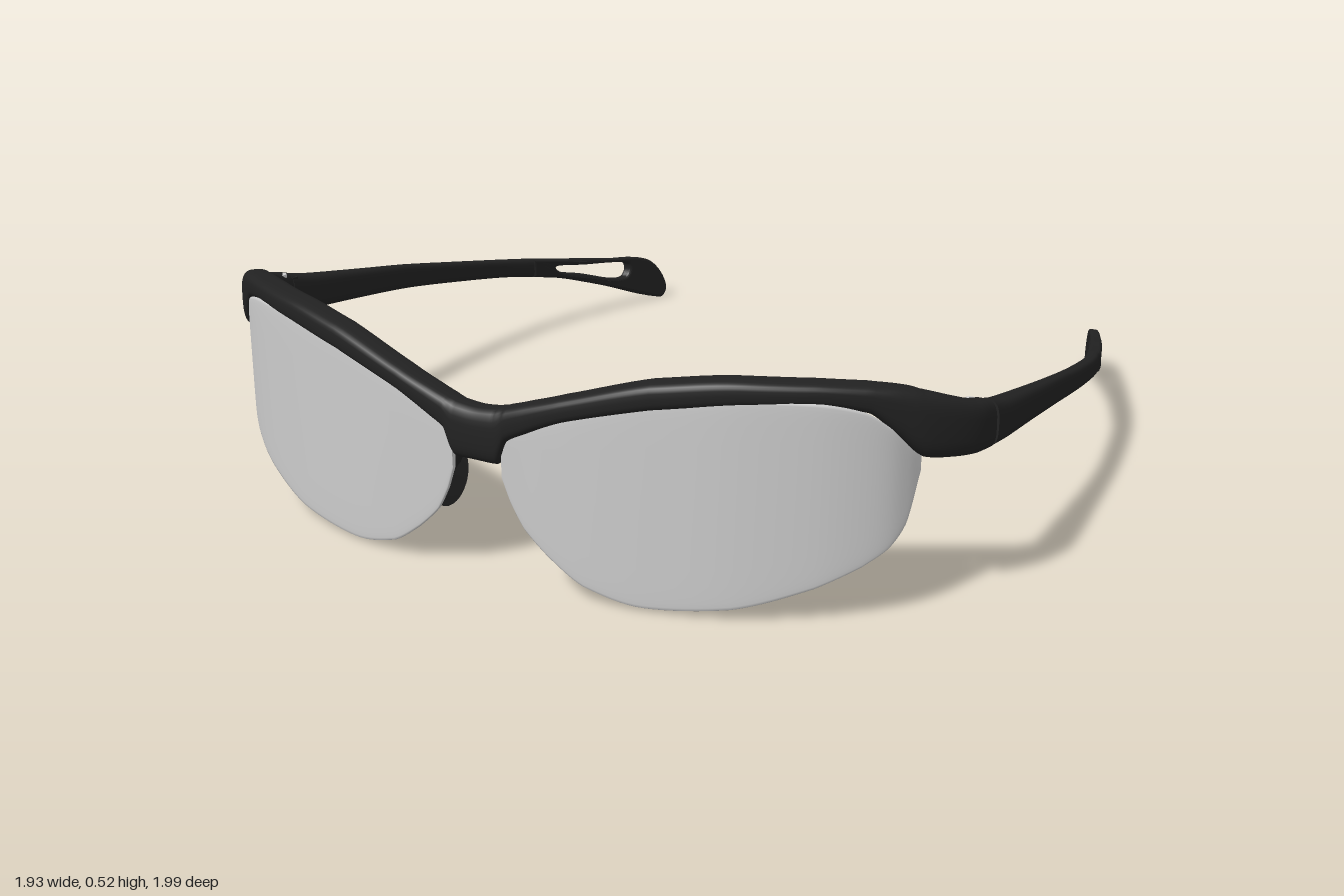
import * as THREE from 'three';

const black = new THREE.MeshStandardMaterial({ color: 0x222222 });
const rubber = new THREE.MeshStandardMaterial({ color: 0x2c2c2c });
const grey = new THREE.MeshStandardMaterial({ color: 0xcccccc });

function part(name, geometry, material) {
  const mesh = new THREE.Mesh(geometry, material);
  mesh.name = name;
  return mesh;
}

// Sweeps a rounded section through stations [x, z, top, bottom, width]
function loft(stations, steps, power, sides = 28) {
  const path = new THREE.CatmullRomCurve3(stations.map(([x, z]) => new THREE.Vector3(x, 0, z)));
  const size = new THREE.CatmullRomCurve3(stations.map(([, , t, b, w]) => new THREE.Vector3(t, b, w)));
  const pos = [], index = [];
  const round = (v) => Math.sign(v) * Math.pow(Math.abs(v), 2 / power);
  for (let i = 0; i <= steps; i++) {
    const p = path.getPoint(i / steps), s = size.getPoint(i / steps), t = path.getTangent(i / steps);
    for (let j = 0; j < sides; j++) {
      const a = (j / sides) * Math.PI * 2;
      const out = round(Math.cos(a)) * s.z / 2;
      pos.push(p.x - t.z * out, (s.x + s.y) / 2 + round(Math.sin(a)) * (s.x - s.y) / 2, p.z + t.x * out);
    }
  }
  for (let i = 0; i < steps; i++) {
    for (let j = 0; j < sides; j++) {
      const k = (j + 1) % sides, a = i * sides, b = a + sides;
      index.push(a + j, b + j, b + k, a + j, b + k, a + k);
    }
  }
  // end caps on their own vertices, so their edges stay sharp
  for (const end of [0, steps]) {
    const first = pos.length / 3, p = path.getPoint(end / steps), s = size.getPoint(end / steps);
    pos.push(...pos.slice(end * sides * 3, (end + 1) * sides * 3), p.x, (s.x + s.y) / 2, p.z);
    for (let j = 0; j < sides; j++) {
      const k = (j + 1) % sides;
      index.push(first + sides, first + (end ? k : j), first + (end ? j : k));
    }
  }
  const g = new THREE.BufferGeometry();
  g.setAttribute('position', new THREE.Float32BufferAttribute(pos, 3));
  g.setIndex(index);
  g.computeVertexNormals();
  return g;
}

// Slotted rear end of an arm: a side profile bent inward towards the tip
function armTip() {
  const spline = (pts, closed, n) =>
    new THREE.CatmullRomCurve3(pts.map(([s, y]) => new THREE.Vector3(s, y, 0)), closed)
      .getPoints(n).map((p) => new THREE.Vector2(p.x, p.y));
  const shape = new THREE.Shape(spline([
    [0.5, 0.168], [0.6, 0.143], [0.7, 0.108], [0.8, 0.07], [0.9, 0.027], [0.95, 0.009], [0.98, 0.003],
    [0.995, 0.025], [0.99, 0.055], [0.965, 0.1], [0.93, 0.132], [0.88, 0.148], [0.8, 0.16],
    [0.7, 0.181], [0.6, 0.2], [0.5, 0.222],
  ], false, 75));
  shape.holes.push(new THREE.Path(spline([
    [0.585, 0.18], [0.7, 0.163], [0.83, 0.143], [0.857, 0.133], [0.862, 0.113], [0.85, 0.094],
    [0.81, 0.096], [0.7, 0.133], [0.6, 0.164],
  ], true, 54).slice(0, -1)));
  const g = new THREE.ExtrudeGeometry(shape, {
    depth: 0.5, bevelThickness: 0.25, bevelSize: 0.007, bevelOffset: -0.007, bevelSegments: 3, curveSegments: 1,
  });
  const p = g.attributes.position;
  for (let i = 0; i < p.count; i++) {
    const s = p.getX(i), d = s - 0.5;
    const centre = 0.855 - 0.25 * d - 0.17 * d * d, thick = 0.036 - 0.02 * d;
    p.setXYZ(i, centre + (p.getZ(i) - 0.25) * thick, p.getY(i), -s);
  }
  g.computeVertexNormals();
  return g;
}

// Everything that exists once per side, built on the +x side
function buildSide() {
  const side = new THREE.Group();

  side.add(part('lens', loft([
    [0.062, 0.97, 0.35, 0.25, 0.01], [0.08, 0.968, 0.36, 0.2, 0.01], [0.11, 0.965, 0.37, 0.145, 0.01],
    [0.166, 0.96, 0.392, 0.09, 0.01], [0.245, 0.951, 0.42, 0.036, 0.01], [0.375, 0.928, 0.457, 0.008, 0.01],
    [0.555, 0.88, 0.482, 0.026, 0.01], [0.71, 0.81, 0.482, 0.08, 0.01], [0.79, 0.755, 0.46, 0.125, 0.01],
    [0.83, 0.715, 0.42, 0.16, 0.01], [0.85, 0.68, 0.38, 0.205, 0.01], [0.862, 0.645, 0.355, 0.31, 0.01],
  ], 88, 6), grey));

  side.add(part('arm', loft([
    [0.933, 0.474, 0.424, 0.321, 0.066], [0.932, 0.4, 0.403, 0.311, 0.064], [0.928, 0.2, 0.363, 0.287, 0.05],
    [0.922, 0, 0.325, 0.26, 0.038], [0.905, -0.2, 0.283, 0.226, 0.037], [0.878, -0.4, 0.242, 0.19, 0.036],
    [0.854, -0.503, 0.222, 0.168, 0.036],
  ], 60, 3.2), black));
  side.add(part('armTip', armTip(), black));

  // hinge core bridging the seam, with its vertical pin
  const hinge = part('hinge', new THREE.BoxGeometry(0.045, 0.08, 0.05), black);
  hinge.position.set(0.928, 0.374, 0.48);
  const pin = part('hingePin', new THREE.CylinderGeometry(0.011, 0.011, 0.11, 16), grey);
  pin.position.set(0.912, 0.377, 0.505);
  side.add(hinge, pin);

  // nose pad and the stem that carries it
  const pad = part('nosePad', new THREE.SphereGeometry(1, 28, 20), rubber);
  pad.scale.set(0.026, 0.098, 0.042);
  pad.rotation.set(0, 0.7, 0.42, 'YZX');
  pad.position.set(0.125, 0.2, 0.905);
  const stem = part('nosePadStem', new THREE.TubeGeometry(new THREE.CatmullRomCurve3([
    new THREE.Vector3(0.04, 0.33, 0.94), new THREE.Vector3(0.075, 0.29, 0.93), new THREE.Vector3(0.115, 0.22, 0.915),
  ]), 12, 0.018, 10), black);
  side.add(pad, stem);
  return side;
}

export function createModel() {
  const model = new THREE.Group();
  model.name = 'sunglasses';

  // brow frame, one sweep from hinge to hinge
  const half = [
    [0.05, 0.956, 0.404, 0.28, 0.07], [0.075, 0.954, 0.411, 0.335, 0.068], [0.12, 0.951, 0.425, 0.36, 0.068],
    [0.2, 0.942, 0.45, 0.397, 0.068], [0.39, 0.905, 0.505, 0.447, 0.07], [0.56, 0.85, 0.523, 0.47, 0.07],
    [0.69, 0.785, 0.52, 0.473, 0.07], [0.78, 0.725, 0.512, 0.453, 0.07], [0.83, 0.685, 0.503, 0.395, 0.07],
    [0.865, 0.65, 0.488, 0.349, 0.072], [0.905, 0.59, 0.463, 0.335, 0.072], [0.925, 0.54, 0.444, 0.328, 0.072],
    [0.932, 0.484, 0.429, 0.322, 0.07],
  ];
  const mirrored = half.map(([x, ...rest]) => [-x, ...rest]).reverse();
  const stations = [...mirrored, [0, 0.957, 0.4, 0.28, 0.07], ...half];
  model.add(part('browFrame', loft(stations, 208, 3.2), black));

  const left = buildSide();
  left.name = 'leftSide';
  const right = buildSide();
  right.name = 'rightSide';
  right.scale.x = -1;
  model.add(left, right);
  return model;
}
